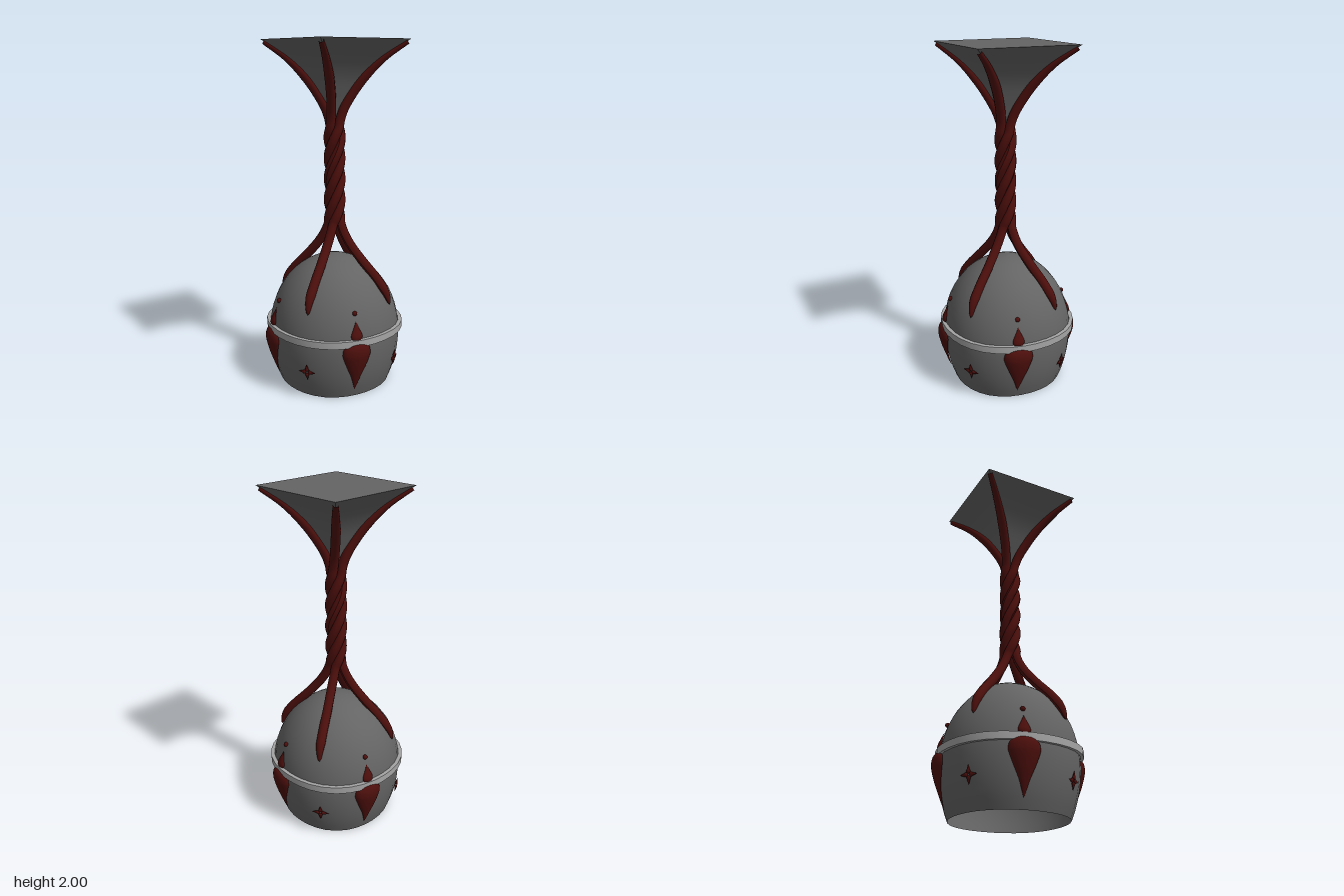
import * as THREE from 'three';
import { toCreasedNormals } from 'three/addons/utils/BufferGeometryUtils.js';

const darkGrey = new THREE.MeshStandardMaterial({ color: 0x646464 });
const darkGreyShell = new THREE.MeshStandardMaterial({ color: 0x646464, side: THREE.DoubleSide });
const lightGrey = new THREE.MeshStandardMaterial({ color: 0xa4a4a4 });
const red = new THREE.MeshStandardMaterial({ color: 0x4c0f0c });

const DROP_TURN = -0.28, STAR_TURN = 0.54;

const pts = (list) => list.map(([x, y]) => new THREE.Vector2(x, y));
const smoothProfile = (list, n) => new THREE.SplineCurve(pts(list)).getPoints(n);

function add(parent, name, geometry, material) {
  const mesh = new THREE.Mesh(geometry, material);
  mesh.name = name;
  parent.add(mesh);
  return mesh;
}

// Egg-shaped bell: radius at a height, widest at y = 0.3, slightly fuller on the diagonals
const domeRadius = (y) => 0.378 * Math.sqrt(Math.max(0, 1 - ((y - 0.3) / (y > 0.3 ? 0.465 : 0.564)) ** 2));
const bulge = (angle) => 1 + 0.03 * Math.sin(2 * angle) ** 2;

// Lathe whose rings follow the bulged outline
function bulgedLathe(profile) {
  const geo = new THREE.LatheGeometry(pts(profile), 32);
  const pos = geo.attributes.position;
  for (let i = 0; i < pos.count; i++) {
    const x = pos.getX(i), z = pos.getZ(i), k = bulge(Math.atan2(x, z));
    pos.setX(i, x * k);
    pos.setZ(i, z * k);
  }
  return geo;
}

function domeGeometry() {
  const profile = [];
  for (let i = 0; i < 6; i++) profile.push([domeRadius(i * 0.05), i * 0.05]);
  for (let i = 0; i <= 14; i++) {
    const a = (i / 14) * Math.PI / 2;
    profile.push([0.378 * Math.cos(a), 0.3 + 0.465 * Math.sin(a)]);
  }
  return bulgedLathe(profile);
}

// Square plate on a four-sided concave funnel
function funnelGeometry() {
  const side = smoothProfile([[0.001, 1.56], [0.025, 1.62], [0.063, 1.7], [0.116, 1.8], [0.192, 1.9], [0.3, 2]], 16);
  const profile = [...side, new THREE.Vector2(0, 2)];
  profile.forEach((p) => { p.x *= Math.SQRT2; });
  return toCreasedNormals(new THREE.LatheGeometry(profile, 4, Math.PI / 4), 0.6);
}

// One strand: plate corner, twisted stem, then down over the dome
function strandGeometry() {
  // each point is radius, height, angle in degrees
  const path = [[0.405, 1.985, 45], [0.277, 1.9, 45], [0.173, 1.8, 45], [0.1, 1.7, 47], [0.056, 1.62, 54], [0.038, 1.56, 67]];
  for (let i = 0; i <= 18; i++) path.push([0.036, 1.51 - 0.55 * i / 18, 85 + 410 * i / 18]);
  path.push([0.06, 0.9, 508], [0.105, 0.83, 511], [0.174, 0.75, 511],
    [0.27, 0.65, 511], [0.329, 0.57, 511], [0.354, 0.5, 510.5]);
  const curve = new THREE.CatmullRomCurve3(path.map(([r, y, deg]) => {
    const a = THREE.MathUtils.degToRad(deg);
    return new THREE.Vector3(r * Math.cos(a), y, r * Math.sin(a));
  }));
  const n = 150, sides = 10;
  const geo = new THREE.TubeGeometry(curve, n, 0.027, sides);
  const pos = geo.attributes.position;
  const v = new THREE.Vector3();
  // taper both ends
  for (let i = 0; i <= n; i++) {
    const t = i / n, c = curve.getPointAt(t);
    const scale = Math.min(1, 0.5 + t * 3) * Math.sqrt(Math.min(1, (1 - t) / 0.06));
    for (let j = 0; j <= sides; j++) {
      const k = i * (sides + 1) + j;
      v.fromBufferAttribute(pos, k).sub(c).multiplyScalar(scale).add(c);
      pos.setXYZ(k, v.x, v.y, v.z);
    }
  }
  geo.computeVertexNormals();
  return geo;
}

// Lathed drop at height y0 with its back laid flat along the dome
function dropGeometry(profile, y0, depth) {
  const geo = new THREE.LatheGeometry(smoothProfile(profile, 24), 24);
  const pos = geo.attributes.position;
  for (let i = 0; i < pos.count; i++) {
    const x = pos.getX(i), y = pos.getY(i) + y0, z = pos.getZ(i);
    const r = domeRadius(y);
    const surface = Math.sqrt(r * r - x * x) * bulge(Math.atan2(x, r) + DROP_TURN);
    pos.setXYZ(i, x, y, surface + 0.003 + Math.max(0, z) * depth);
  }
  geo.computeVertexNormals();
  return geo;
}

const largeDrop = dropGeometry([[0, -0.2], [0.013, -0.16], [0.029, -0.11], [0.055, -0.05],
  [0.08, 0.015], [0.084, 0.04], [0.077, 0.07], [0.05, 0.093], [0, 0.1]], 0.25, 0.45);
const smallDrop = dropGeometry(
  [[0, -0.04], [0.025, -0.032], [0.034, -0.01], [0.02, 0.025], [0.008, 0.05], [0, 0.07]], 0.4, 0.5);

// Drops and bead, facing local +z
function dropOrnament() {
  const g = new THREE.Group();
  g.name = 'dropOrnament';
  add(g, 'largeDrop', largeDrop, red);
  add(g, 'smallDrop', smallDrop, red);
  add(g, 'bead', new THREE.SphereGeometry(0.014, 12, 8), red).position.set(0, 0.51, 0.343);
  return g;
}

// Four-pointed star made of spikes lying on the dome
const spike = new THREE.LatheGeometry(smoothProfile([[0, 0.005], [0.012, 0.012], [0.008, 0.028], [0, 0.052]], 8), 10);

function starOrnament() {
  const g = new THREE.Group();
  g.name = 'starOrnament';
  const star = new THREE.Group();
  star.name = 'star';
  for (let i = 0; i < 4; i++) {
    const arm = add(star, 'starSpike', spike, red);
    arm.rotation.z = i * Math.PI / 2;
    arm.scale.z = 0.7;
  }
  star.position.set(0, 0.17, domeRadius(0.17) * bulge(STAR_TURN) + 0.008);
  star.rotation.x = 0.12;
  g.add(star);
  return g;
}

export function createModel() {
  const model = new THREE.Group();
  model.name = 'bell';

  // Dome, band and ornaments share one axis
  const body = new THREE.Group();
  body.name = 'body';
  body.position.set(0.002, 0, -0.006);
  model.add(body);
  add(body, 'dome', domeGeometry(), darkGreyShell);
  const band = bulgedLathe([[0.379, 0.33], [0.397, 0.33], [0.397, 0.37], [0.375, 0.37], [0.379, 0.33]]);
  add(body, 'band', toCreasedNormals(band, 0.6), lightGrey);

  add(model, 'topFunnel', funnelGeometry(), darkGrey);

  // Everything red repeats four times round the axis
  const strand = strandGeometry();
  for (let i = 0; i < 4; i++) {
    const turn = i * Math.PI / 2;
    add(model, 'strand', strand, red).rotation.y = turn;
    const drops = dropOrnament();
    drops.rotation.y = turn + DROP_TURN;
    const star = starOrnament();
    star.rotation.y = turn + STAR_TURN;
    body.add(drops, star);
  }
  return model;
}
